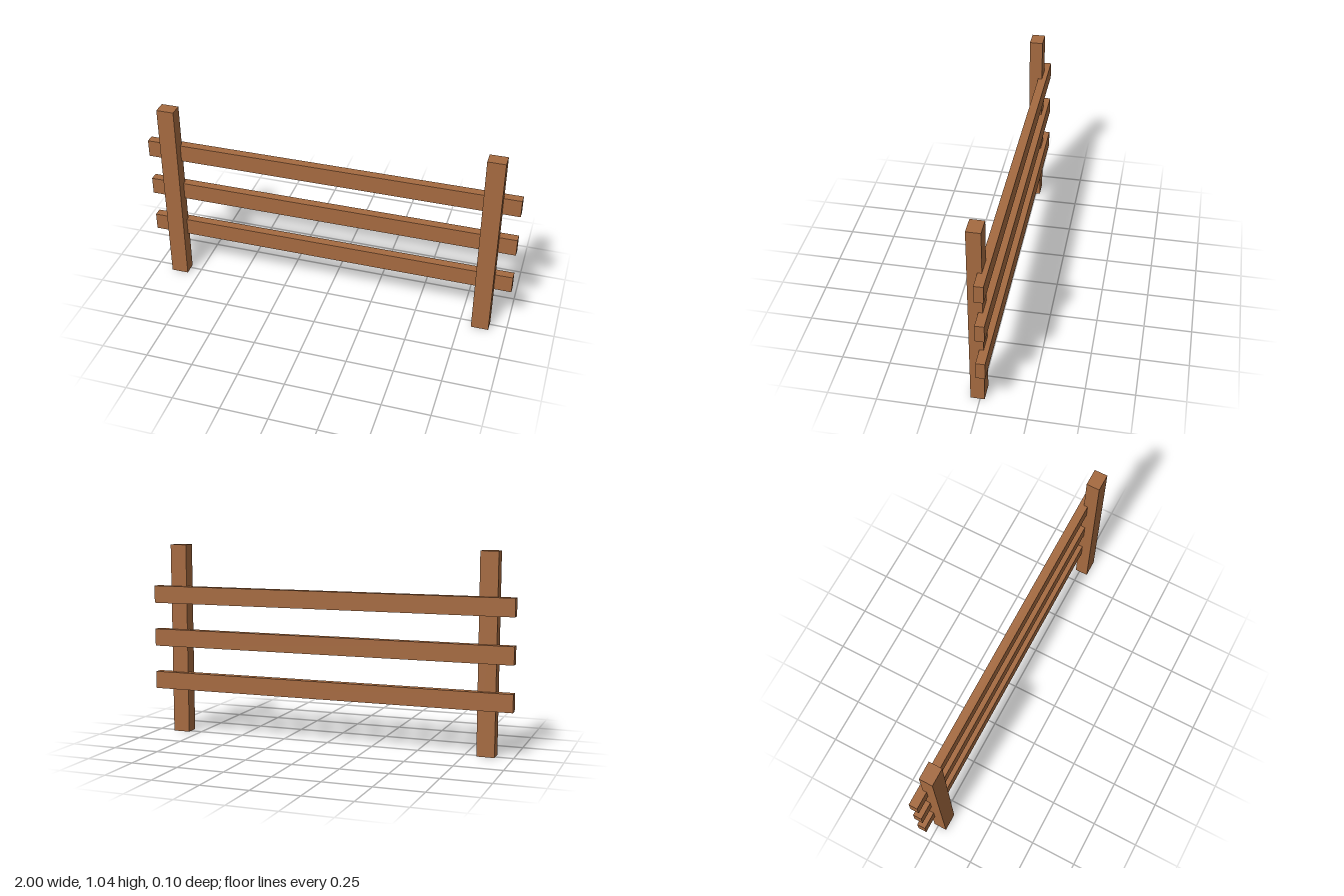
import * as THREE from 'three';

export function createModel() {
  const fence = new THREE.Group();
  fence.name = 'fence';
  const wood = new THREE.MeshStandardMaterial({ color: 0xa56a40 });
  wood.name = 'brown wood';

  function beam(name, size, position) {
    const mesh = new THREE.Mesh(new THREE.BoxGeometry(...size), wood);
    mesh.name = name;
    mesh.position.set(...position);
    fence.add(mesh);
  }

  // Two upright posts, mirrored about the centre
  for (const [name, side] of [['leftPost', 1], ['rightPost', -1]]) {
    beam(name, [0.093, 1.04, 0.071], [side * 0.861, 0.52, 0.0125]);
  }

  // Three rails let slightly into the backs of the posts
  ['lowerRail', 'middleRail', 'upperRail'].forEach((name, i) => {
    beam(name, [2, 0.094, 0.046], [0, 0.288 + i * 0.239, -0.025]);
  });

  return fence;
}
